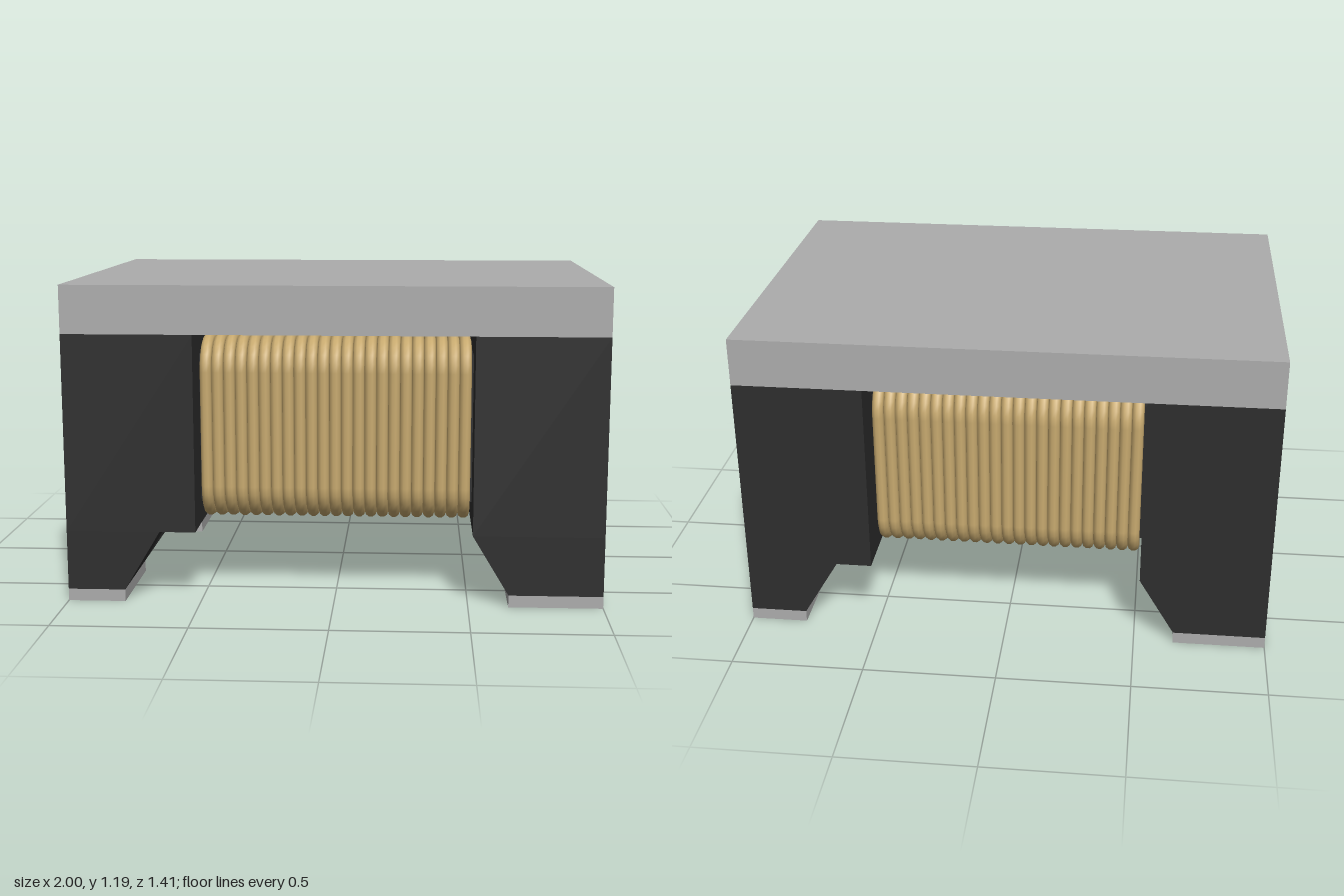
import * as THREE from 'three';

const mat = (name, color) => {
  const m = new THREE.MeshStandardMaterial({ color });
  m.name = name;
  return m;
};

export function createModel() {
  const grey = mat('light grey', 0xadadad);
  const dark = mat('dark ferrite', 0x2e2e2e);
  const copper = mat('enamelled copper', 0xc9ab70);

  const add = (parent, name, geometry, material) => {
    const mesh = new THREE.Mesh(geometry, material);
    mesh.name = name;
    parent.add(mesh);
    return mesh;
  };
  const box = (parent, name, material, x0, x1, y0, y1, z0, z1) => {
    const g = new THREE.BoxGeometry(x1 - x0, y1 - y0, z1 - z0);
    g.translate((x0 + x1) / 2, (y0 + y1) / 2, (z0 + z1) / 2);
    return add(parent, name, g, material);
  };

  const model = new THREE.Group();
  model.name = 'wireWoundChoke';
  const D = 0.705, gap = 0.31, padTop = 0.045, hip = 0.27, plateY = 1.01, inner = 0.515;

  box(model, 'topPlate', grey, -1, 1, plateY, 1.19, -D, D);
  box(model, 'windingCore', dark, -inner, inner, 0.36, 0.92, -0.54, 0.54);

  // Foot with a sloping inner side and a solder pad below it
  const foot = (parent, name, xTop, xBottom, z0) => {
    const shape = new THREE.Shape([
      [1, padTop], [1, hip], [xTop, hip], [xBottom, padTop],
    ].map(([x, y]) => new THREE.Vector2(x, y)));
    const g = new THREE.ExtrudeGeometry(shape, { depth: D - gap, bevelEnabled: false });
    g.translate(0, 0, z0);
    add(parent, name, g, dark);
    box(parent, name + 'Pad', grey, xBottom, 1, 0, padTop, z0, z0 + D - gap);
  };

  // Two end blocks, the second turned half way round
  for (const side of ['left', 'right']) {
    const end = new THREE.Group();
    end.name = side + 'EndBlock';
    box(end, 'post', dark, inner, 1, hip, plateY, -D, D);
    box(end, 'footBridge', dark, 0.785, 1, padTop, hip, -gap, gap);
    foot(end, 'wideFoot', inner, 0.65, gap);
    foot(end, 'narrowFoot', 0.65, 0.785, -D);
    if (side === 'right') end.rotation.y = Math.PI;
    model.add(end);
  }

  // One turn of wire: a rounded rectangle in the yz plane
  const hz = 0.588, hy = 0.33, r = 0.11, cy = 0.6375;
  const path = new THREE.CurvePath();
  const corners = [[1, 1], [-1, 1], [-1, -1], [1, -1]];
  const pt = (z, y) => new THREE.Vector3(0, cy + y, z);
  corners.forEach(([sz, sy], i) => {
    const alongY = [pt(sz * hz, sy * (hy - r)), pt(sz * (hz - r), sy * hy)];
    const [a, b] = i % 2 ? alongY.reverse() : alongY;
    const c = pt(sz * (hz - r), sy * (hy - r));
    const arc = new THREE.Curve();
    // Circular corner from a to b about c
    arc.getPoint = (t, target = new THREE.Vector3()) => target.copy(c)
      .addScaledVector(a.clone().sub(c), Math.cos(t * Math.PI / 2))
      .addScaledVector(b.clone().sub(c), Math.sin(t * Math.PI / 2));
    path.add(arc);
    const [nz, ny] = corners[(i + 1) % 4];
    const next = i % 2 ? pt(nz * hz, ny * (hy - r)) : pt(nz * (hz - r), ny * hy);
    path.add(new THREE.LineCurve3(b, next));
  });
  const turn = new THREE.TubeGeometry(path, 120, 0.0225, 10, true);

  const winding = new THREE.Group();
  winding.name = 'winding';
  const turns = 23, pitch = 0.044;
  for (let i = 0; i < turns; i++) {
    add(winding, 'wireTurn', turn, copper).position.x = (i - (turns - 1) / 2) * pitch;
  }
  model.add(winding);
  return model;
}
